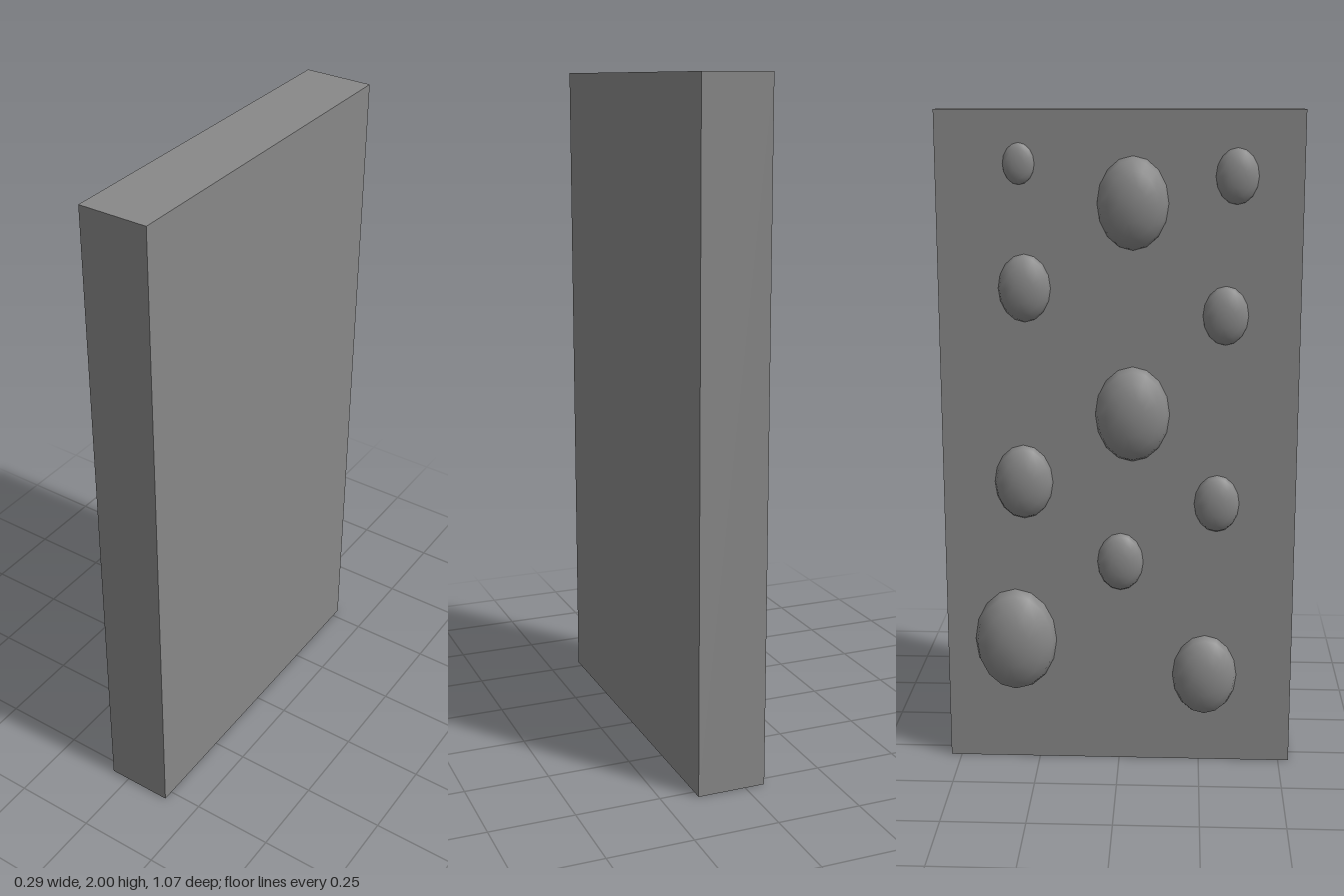
import * as THREE from 'three';

export function createModel() {
  const group = new THREE.Group();
  group.name = 'studdedPanel';
  const material = new THREE.MeshStandardMaterial({ color: 0x888888 });

  // Upright slab
  const back = -0.06, front = 0.145;
  const slab = new THREE.Mesh(new THREE.BoxGeometry(front - back, 2, 1.065), material);
  slab.name = 'slab';
  slab.position.set((front + back) / 2, 1, 0);
  group.add(slab);

  // Half-ellipsoid climbing holds on the -x face: [y, z, half width]
  const dome = new THREE.SphereGeometry(1, 16, 4, 0, Math.PI * 2, 0, Math.PI / 2);
  dome.rotateZ(Math.PI / 2);
  const holds = [
    [1.847, -0.29, 0.046],
    [1.735, 0.04, 0.104],
    [1.813, 0.34, 0.062],
    [1.41, 0.313, 0.067],
    [1.488, -0.278, 0.077],
    [1.112, 0.04, 0.111],
    [0.838, 0.295, 0.068],
    [0.9, -0.288, 0.088],
    [0.65, 0.004, 0.07],
    [0.393, -0.32, 0.126],
    [0.285, 0.265, 0.099],
  ];
  holds.forEach(([y, z, r], i) => {
    const hold = new THREE.Mesh(dome, material);
    hold.name = `hold${i + 1}`;
    hold.position.set(back, y, z);
    // Small holds are flatter than large ones
    hold.scale.set(r * 0.8 - 0.016, r * 1.3, r);
    group.add(hold);
  });

  return group;
}
